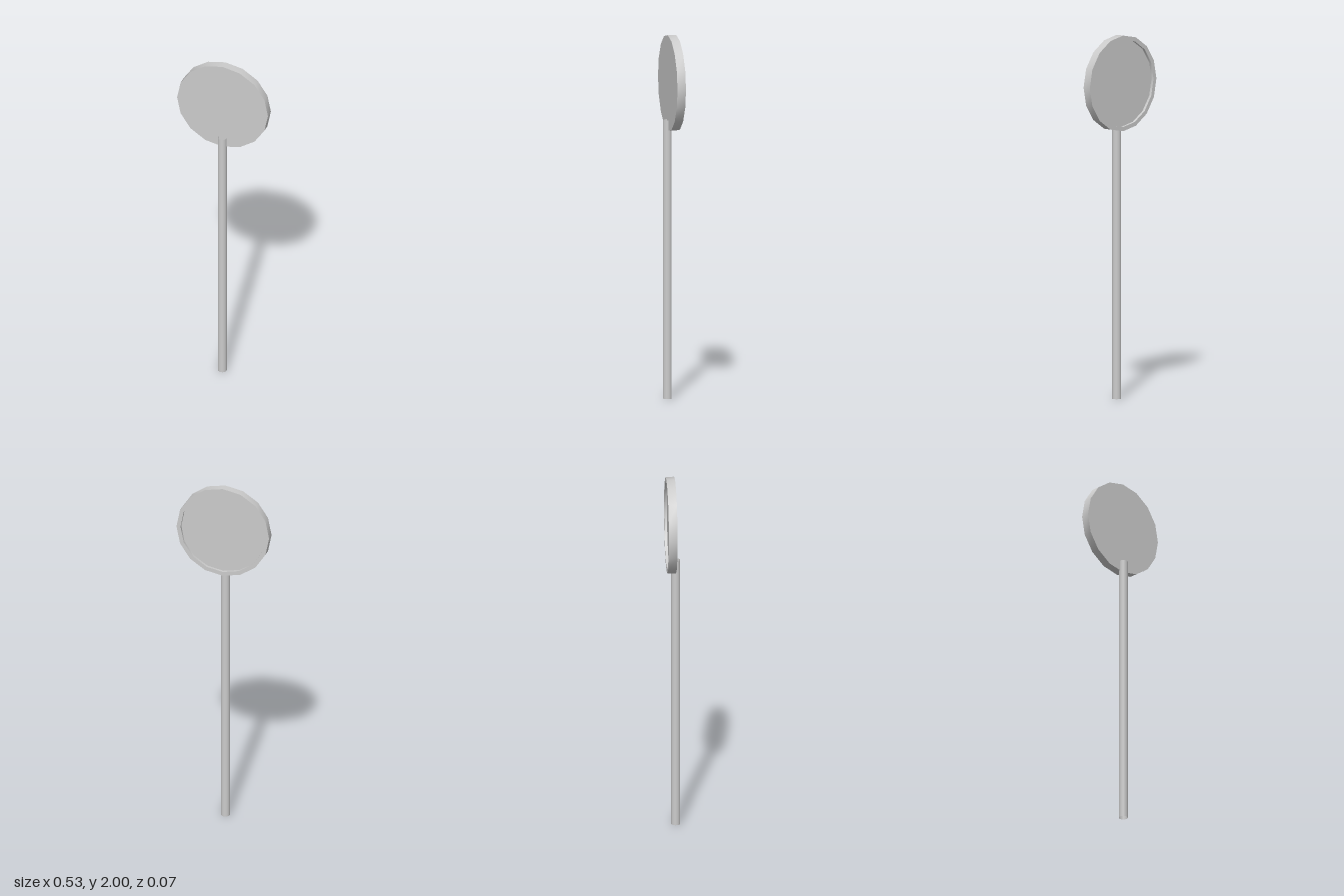
import * as THREE from 'three';
import { toCreasedNormals } from 'three/addons/utils/BufferGeometryUtils.js';

export function createModel() {
  const model = new THREE.Group();
  const material = new THREE.MeshStandardMaterial({ color: 0xcccccc });

  // Round 16-sided plate, flat in front, with a raised rim around a recessed back
  const profile = [
    [0, -0.01], [0.263, -0.01], [0.263, 0.037],
    [0.24, 0.037], [0.24, 0.022], [0, 0.022],
  ].map(([r, y]) => new THREE.Vector2(r, y));
  const plateGeometry = new THREE.LatheGeometry(profile, 16).rotateX(-Math.PI / 2);
  const plate = new THREE.Mesh(toCreasedNormals(plateGeometry, 0.6), material);
  plate.name = 'signPlate';
  plate.position.y = 1.737;
  model.add(plate);

  // Hollow, open-ended pole running up the front of the plate
  const poleHeight = 1.535;
  const pole = new THREE.Mesh(
    new THREE.CylinderGeometry(0.0245, 0.0245, poleHeight, 16, 1, true),
    new THREE.MeshStandardMaterial({ color: 0xcccccc, side: THREE.DoubleSide }),
  );
  pole.name = 'pole';
  pole.position.set(0, poleHeight / 2, 0.0125);
  model.add(pole);

  return model;
}
